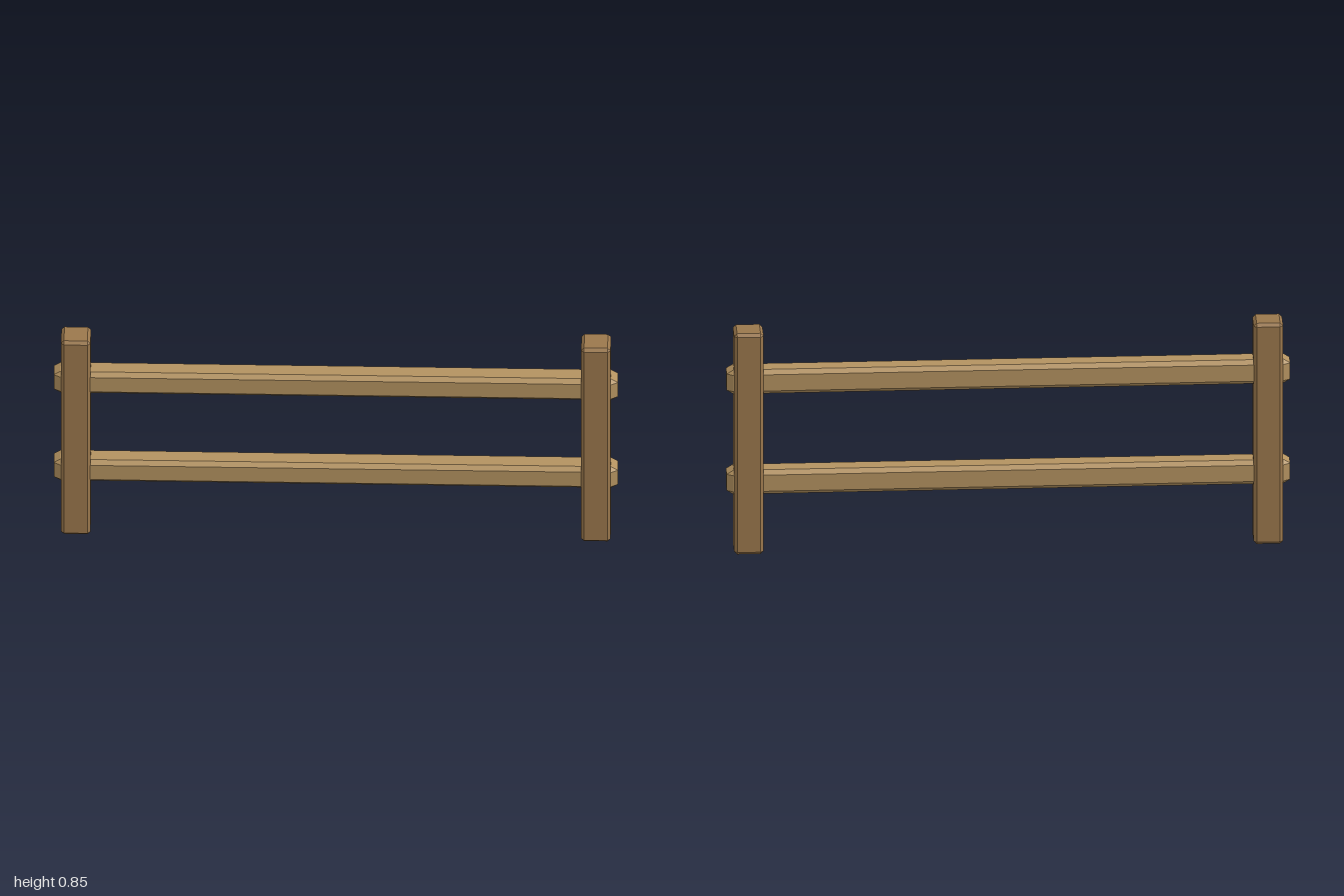
import * as THREE from 'three';
import { ConvexGeometry } from 'three/addons/geometries/ConvexGeometry.js';

// Box with flat bevels; c holds the bevel depth along x, y and z.
function bevelledBox(w, h, d, c) {
  const half = [w / 2, h / 2, d / 2];
  const points = [];
  for (const sx of [-1, 1]) for (const sy of [-1, 1]) for (const sz of [-1, 1]) {
    const s = [sx, sy, sz];
    // one point per face meeting at this corner
    for (let face = 0; face < 3; face++) {
      points.push(new THREE.Vector3(...s.map((sign, i) => sign * (half[i] - (i === face ? 0 : c[i])))));
    }
  }
  return new ConvexGeometry(points);
}

export function createModel() {
  const fence = new THREE.Group();
  fence.name = 'fence';
  const postWood = new THREE.MeshStandardMaterial({ color: 0x9a774c, flatShading: true });
  const railWood = new THREE.MeshStandardMaterial({ color: 0xb39260, flatShading: true });

  // Upright posts
  const postHeight = 0.847;
  const postGeometry = bevelledBox(0.105, postHeight, 0.106, [0.011, 0.011, 0.011]);
  for (const [name, side] of [['leftPost', 1], ['rightPost', -1]]) {
    const post = new THREE.Mesh(postGeometry, postWood);
    post.name = name;
    post.position.set(side * 0.922, postHeight / 2, 0);
    fence.add(post);
  }

  // Horizontal rails running through both posts
  const railGeometry = bevelledBox(2, 0.092, 0.086, [0.024, 0.015, 0.015]);
  for (const [name, y] of [['lowerRail', 0.271], ['upperRail', 0.656]]) {
    const rail = new THREE.Mesh(railGeometry, railWood);
    rail.name = name;
    rail.position.y = y;
    fence.add(rail);
  }
  return fence;
}
